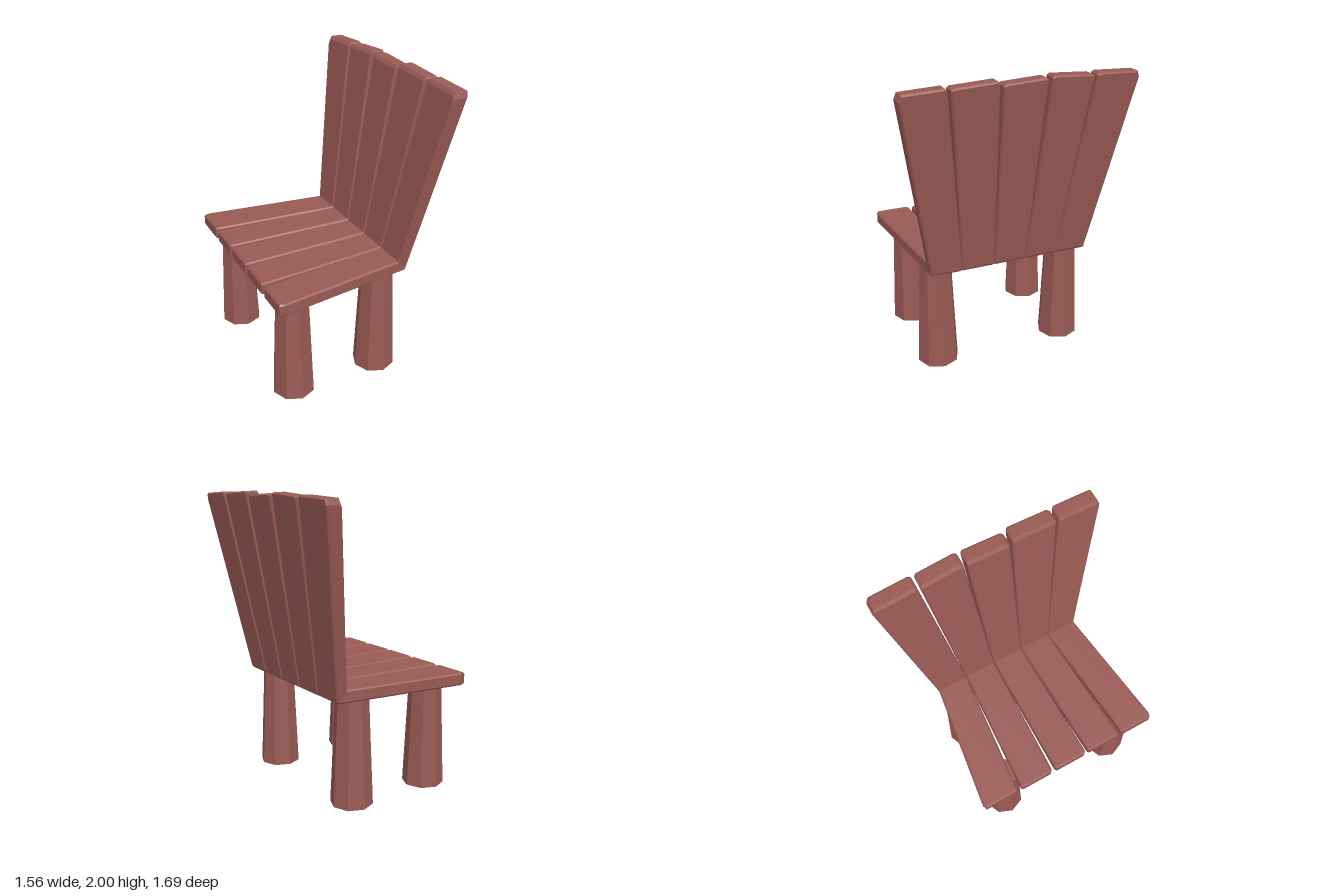
import * as THREE from 'three';

const wood = new THREE.MeshStandardMaterial({ color: 0x9a5a54, flatShading: true });

// Plank edges along the chair's width where seat and back meet
const joint = [-0.515, -0.297, -0.076, 0.145, 0.367, 0.58];

// Bevelled slab cut from a flat outline
function slab(points, thickness) {
  const bevel = 0.01;
  return new THREE.ExtrudeGeometry(new THREE.Shape(points.map(p => new THREE.Vector2(...p))), {
    depth: thickness - 2 * bevel, bevelThickness: bevel, bevelSize: bevel,
    bevelOffset: -bevel, bevelSegments: 1, steps: 1,
  }).translate(0, 0, bevel);
}

function add(parent, geometry, name) {
  const mesh = new THREE.Mesh(geometry, wood);
  mesh.name = name;
  parent.add(mesh);
  return mesh;
}

export function createModel() {
  const model = new THREE.Group();
  model.name = 'plankChair';
  const chair = new THREE.Group();
  chair.name = 'chair';
  chair.rotation.y = 0.322; // the whole chair stands turned
  model.add(chair);

  // Seat: planks fanning out towards the front edge (local -x)
  const front = [[-0.638, -0.382], [-0.354, -0.11], [-0.085, 0.157], [0.177, 0.422], [0.448, 0.69]];
  front.forEach(([a, b], i) => {
    const cutA = i === 0 ? 0.035 : 0.015, cutB = i === 4 ? 0.03 : 0.015;
    const x = -0.618;
    const outline = [
      [0.338, joint[i]], [x + cutA, a], [x, a + 0.012],
      [x, b - 0.012], [x + cutB, b], [0.338, joint[i + 1]],
    ].map(([px, pz]) => [px, -pz]);
    const geometry = slab(outline, 0.085).rotateX(-Math.PI / 2).translate(0, 0.723, 0);
    add(chair, geometry, 'seatPlank' + (i + 1));
  });

  // Backrest: planks fanning out upwards, each with a slightly uneven top
  const top = [
    [-0.72, -0.427, 1.978, 1.99], [-0.41, -0.13, 1.985, 2.0], [-0.108, 0.174, 1.992, 1.978],
    [0.194, 0.49, 2.0, 1.985], [0.508, 0.79, 1.99, 1.978],
  ];
  top.forEach(([a, b, ya, yb], i) => {
    const cutA = i === 0 ? 0.04 : 0.012, cutB = i === 4 ? 0.04 : 0.012;
    const outline = [
      [joint[i], 0.733], [a, ya - cutA], [a + 0.015, ya],
      [b - 0.015, yb], [b, yb - cutB], [joint[i + 1], 0.733],
    ].map(([pz, py]) => [-pz, py]);
    const geometry = slab(outline, 0.08).rotateY(Math.PI / 2);
    // Lean the plank backwards and thicken it towards the top
    const p = geometry.attributes.position;
    for (let v = 0; v < p.count; v++) {
      const rise = p.getY(v) - 0.733;
      p.setX(v, 0.265 + 0.153 * rise + p.getX(v) * (1 + 0.24 * rise));
      // Front top edge sits a little lower than the rear one
      if (rise > 1.1 && p.getX(v) < 0.265 + 0.153 * rise + 0.005) p.setY(v, p.getY(v) - 0.012);
    }
    geometry.computeVertexNormals();
    add(chair, geometry, 'backPlank' + (i + 1));
  });

  // Four tapered eight-sided legs
  for (const [x, end] of [[-0.45, 'front'], [0.166, 'back']]) {
    for (const [z, side] of [[-0.422, 'Right'], [0.498, 'Left']]) {
      const leg = add(chair, new THREE.CylinderGeometry(0.11, 0.142, 0.735, 8), end + side + 'Leg');
      leg.position.set(x, 0.3675, z);
    }
  }
  return model;
}
